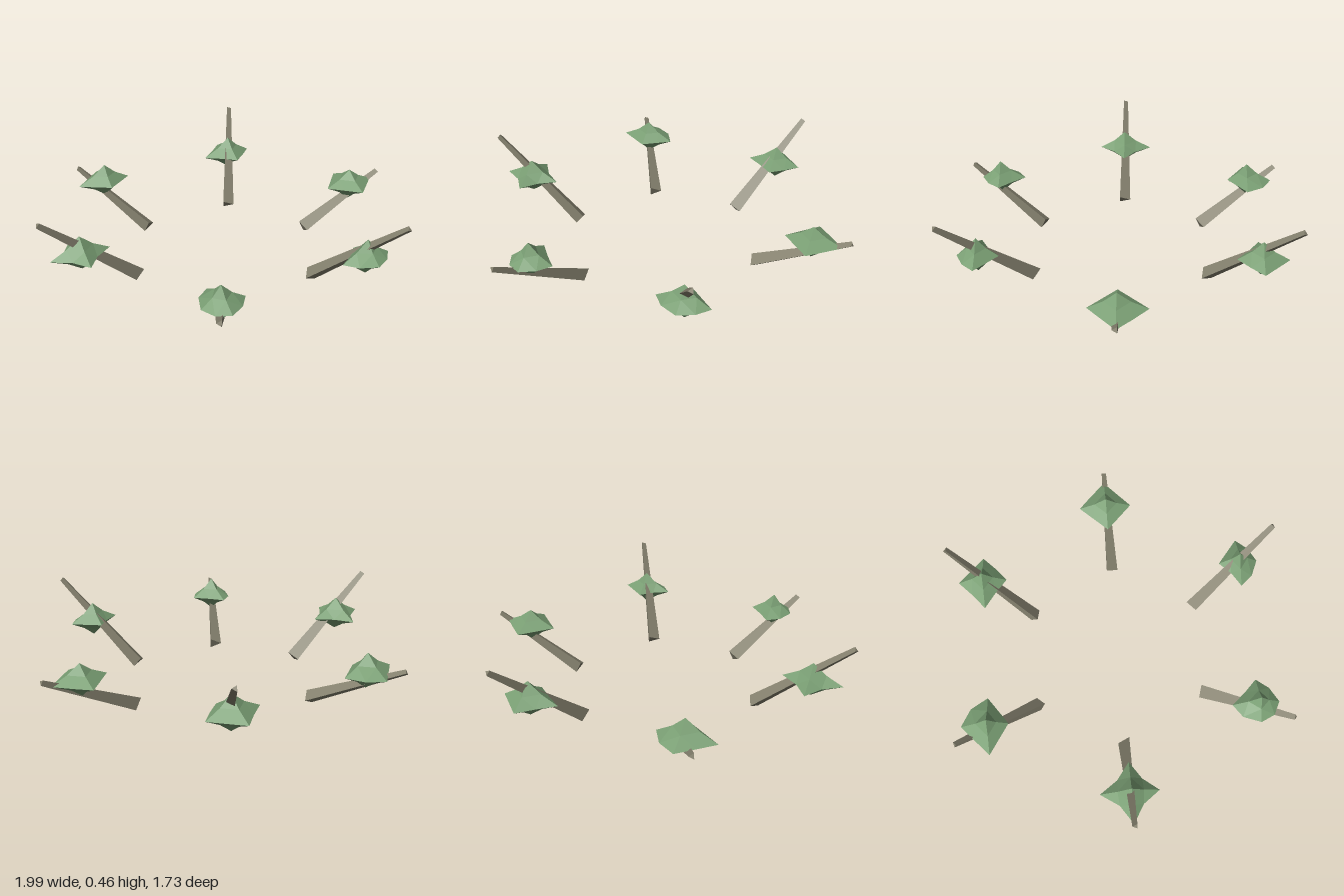
import * as THREE from 'three';

const bark = new THREE.MeshStandardMaterial({ color: 0x86826f, flatShading: true });
const leaf = new THREE.MeshStandardMaterial({ color: 0x7a9f74, flatShading: true });

// Three-sided tapered trunk leaning outwards along local +x
function makeTrunk(tipHeight, baseHeight) {
  const base = new THREE.Vector2(0.5, baseHeight);
  const tip = new THREE.Vector2(0.986, tipHeight);
  const run = tip.clone().sub(base);
  const trunk = new THREE.Mesh(new THREE.CylinderGeometry(0.016, 0.04, run.length(), 3), bark);
  trunk.position.set((base.x + tip.x) / 2, (base.y + tip.y) / 2, 0);
  trunk.rotation.z = run.angle() - Math.PI / 2;
  trunk.name = 'trunk';
  return trunk;
}

// Faceted leaf clump: reach = [+x, -x, +z, -z, up, down] spikes,
// bulge = fullness between the spikes [+x+z, -x+z, -x-z, +x-z]
function makeFoliage(reach, bulge) {
  const [px, nx, pz, nz, up, down] = reach;
  const geo = new THREE.OctahedronGeometry(1, 1);
  const pos = geo.attributes.position;
  for (let i = 0; i < pos.count; i++) {
    const [x, y, z] = [pos.getX(i), pos.getY(i), pos.getZ(i)];
    const between = Math.max(Math.abs(x), Math.abs(y), Math.abs(z)) < 0.9;
    let k = 1;
    if (between) {
      const quadrant = z > 0 ? (x > 0 ? 0 : 1) : (x < 0 ? 2 : 3);
      k = (Math.abs(y) > 0.1 ? 0.44 : bulge[quadrant]) * Math.SQRT2;
    }
    pos.setXYZ(i, x * k * (x > 0 ? px : nx), y * k * (y > 0 ? up : down), z * k * (z > 0 ? pz : nz));
  }
  geo.computeVertexNormals();
  const foliage = new THREE.Mesh(geo, leaf);
  foliage.name = 'foliage';
  return foliage;
}

// Clumps in order around the ring, from +x towards +z
const clumps = [
  { reach: [0.15, 0.14, 0.135, 0.145, 0.085, 0.09], bulge: [0.5, 0.5, 0.5, 0.51] },
  { reach: [0.13, 0.14, 0.1, 0.105, 0.1, 0.085], bulge: [0.6, 0.62, 0.44, 0.5] },
  { reach: [0.125, 0.1, 0.105, 0.135, 0.1, 0.085], bulge: [0.6, 0.68, 0.66, 0.48] },
  { reach: [0.15, 0.155, 0.14, 0.155, 0.1, 0.08], bulge: [0.42, 0.4, 0.4, 0.42] },
  { reach: [0.14, 0.155, 0.1, 0.14, 0.1, 0.085], bulge: [0.5, 0.5, 0.5, 0.63] },
  { reach: [0.135, 0.155, 0.12, 0.135, 0.1, 0.085], bulge: [0.52, 0.48, 0.48, 0.5] },
];

export function createModel() {
  const model = new THREE.Group();
  model.name = 'treeRing';
  clumps.forEach(({ reach, bulge }, i) => {
    const angle = (i * Math.PI) / 3;
    const tree = new THREE.Group();
    tree.name = 'tree' + (i + 1);

    // Low and high leaning trunks alternate
    const lean = new THREE.Group();
    lean.name = 'leaningTrunk';
    lean.rotation.y = -angle;
    lean.add(i % 2 ? makeTrunk(0.45, 0.04) : makeTrunk(0.27, 0.032));

    const foliage = makeFoliage(reach, bulge);
    foliage.position.set(0.793 * Math.cos(angle), 0.236, 0.793 * Math.sin(angle));
    tree.add(lean, foliage);
    model.add(tree);
  });
  return model;
}
